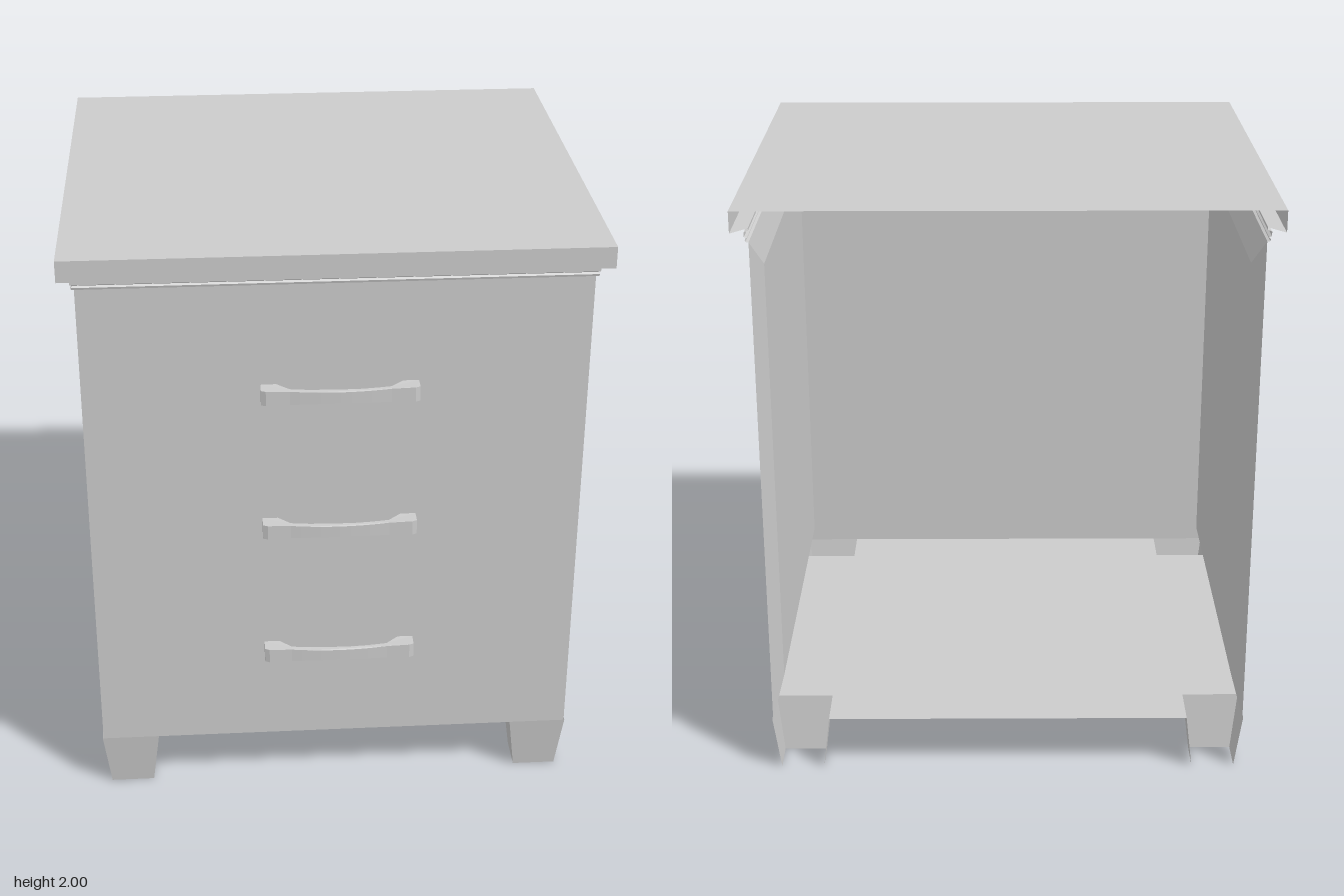
import * as THREE from 'three';

const material = new THREE.MeshStandardMaterial({ color: 0xcccccc, side: THREE.DoubleSide, flatShading: true });

function add(parent, name, geometry) {
  const mesh = new THREE.Mesh(geometry, material);
  mesh.name = name;
  parent.add(mesh);
  return mesh;
}

// Thin sheet made of four-cornered faces, corners counter-clockwise from outside
function sheet(quads) {
  const pos = [];
  for (const [a, b, c, d] of quads) pos.push(...a, ...b, ...c, ...a, ...c, ...d);
  const g = new THREE.BufferGeometry();
  g.setAttribute('position', new THREE.Float32BufferAttribute(pos, 3));
  g.computeVertexNormals();
  return g;
}

// Quads between two closed loops of corners
const band = (a, b) => a.map((p, i) => {
  const j = (i + 1) % a.length;
  return [p, a[j], b[j], b[i]];
});

function rectPath(target, x0, y0, x1, y1) {
  target.moveTo(x0, y0);
  target.lineTo(x1, y0);
  target.lineTo(x1, y1);
  target.lineTo(x0, y1);
  target.closePath();
  return target;
}

// Side sheet with a sloped border around a recessed centre
function sidePanel(s) {
  const loop = (x, y0, y1, z) => {
    const l = [[s * x, y0, z], [s * x, y0, -z], [s * x, y1, -z], [s * x, y1, z]];
    return s > 0 ? l : l.reverse();
  };
  const outer = loop(0.8, 0.2, 1.885, 0.72);
  const inner = loop(0.77, 0.305, 1.78, 0.6);
  return sheet([...band(outer, inner), inner]);
}

// Tapered leg, open at top and bottom; rear legs have no back face
function leg(sx, sz) {
  const loop = (y, x0, x1, z0, z1) => {
    const l = [[sx * x0, y, sz * z0], [sx * x1, y, sz * z0], [sx * x1, y, sz * z1], [sx * x0, y, sz * z1]];
    return l;
  };
  const quads = band(loop(0.2, 0.61, 0.803, 0.56, 0.72), loop(0, 0.635, 0.78, 0.58, 0.695));
  if (sz < 0) quads.splice(2, 1);
  if (sx * sz < 0) quads.forEach((q) => q.reverse());
  return sheet(quads);
}

// Edge profile carried along the left side, front and right side
function edgeTrim(profile) {
  const quads = [];
  const path = ([o, y]) => {
    const x = 0.8 + o, z = 0.72 + o, back = o > 0.04 ? -0.78 : -0.72 - o;
    return [[-x, y, back], [-x, y, z], [x, y, z], [x, y, back]];
  };
  for (let i = 0; i < profile.length - 1; i++) {
    const a = path(profile[i]), b = path(profile[i + 1]);
    for (let k = 0; k < 3; k++) quads.push([a[k], a[k + 1], b[k + 1], b[k]]);
  }
  return sheet(quads);
}

// Bowed pull with two thick feet, slimmer in the middle
function handleGeometry() {
  const s = new THREE.Shape();
  s.moveTo(-0.25, 0);
  s.lineTo(-0.25, 0.045);
  s.lineTo(-0.235, 0.052);
  s.lineTo(-0.16, 0.052);
  s.quadraticCurveTo(0, 0.068, 0.16, 0.052);
  s.lineTo(0.235, 0.052);
  s.lineTo(0.25, 0.045);
  s.lineTo(0.25, 0);
  s.lineTo(0.2, 0);
  s.lineTo(0.16, 0.034);
  s.quadraticCurveTo(0, 0.048, -0.16, 0.034);
  s.lineTo(-0.2, 0);
  s.closePath();
  const g = new THREE.ExtrudeGeometry(s, { depth: 0.05, bevelEnabled: false, curveSegments: 10 });
  g.translate(0, 0, -0.025);
  g.rotateX(Math.PI / 2);
  g.scale(1, 1, 1);
  const p = g.attributes.position;
  for (let i = 0; i < p.count; i++) {
    const t = Math.min(1, Math.abs(p.getX(i)) / 0.2);
    p.setY(i, p.getY(i) * (0.78 + 0.22 * t * t));
  }
  g.computeVertexNormals();
  return g;
}

export function createModel() {
  const model = new THREE.Group();
  model.name = 'nightstand';

  // Top and the stepped moulding under it
  add(model, 'topSurface', sheet([[[-0.85, 2, 0.77], [0.85, 2, 0.77], [0.85, 2, -0.78], [-0.85, 2, -0.78]]]));
  add(model, 'topEdge', edgeTrim([[0, 1.93], [0.05, 1.93], [0.05, 2]]));
  add(model, 'moulding', edgeTrim([[0, 1.885], [0.008, 1.888], [0.01, 1.895], [0.004, 1.9],
    [0.012, 1.905], [0.012, 1.92], [0, 1.922], [0, 1.93]]));

  // Sides
  add(model, 'leftSide', sidePanel(1));
  add(model, 'rightSide', sidePanel(-1));

  // Floor, notched around the legs
  const floor = new THREE.Shape();
  const notch = [[0.61, 0.72], [0.61, 0.56], [0.8, 0.56]];
  const corners = [
    ...notch,
    ...notch.map(([x, z]) => [x, -z]).reverse(),
    ...notch.map(([x, z]) => [-x, -z]),
    ...notch.map(([x, z]) => [-x, z]).reverse(),
  ];
  floor.setFromPoints(corners.map(([x, z]) => new THREE.Vector2(x, z)));
  const floorGeometry = new THREE.ShapeGeometry(floor);
  floorGeometry.rotateX(-Math.PI / 2);
  add(model, 'floor', floorGeometry).position.y = 0.2;

  // Front frame with the drawer opening, and a backing behind the gaps
  const frame = rectPath(new THREE.Shape(), -0.8, 0.2, 0.8, 1.885);
  frame.holes.push(rectPath(new THREE.Path(), -0.61, 0.335, 0.62, 1.75));
  add(model, 'frontFrame', new THREE.ShapeGeometry(frame)).position.z = 0.72;
  const backing = rectPath(new THREE.Shape(), -0.62, 0.325, 0.63, 1.76);
  add(model, 'drawerBacking', new THREE.ShapeGeometry(backing)).position.z = 0.712;

  // Drawers and handles
  const gap = 0.003;
  const pull = handleGeometry();
  [[0.335, 0.79, 0.552], [0.79, 1.292, 1.034], [1.292, 1.75, 1.52]].forEach(([y0, y1, yh], i) => {
    const drawer = new THREE.Group();
    drawer.name = `drawer${i + 1}`;
    const face = rectPath(new THREE.Shape(), -0.61 + gap, y0 + gap, 0.62 - gap, y1 - gap);
    add(drawer, 'drawerFront', new THREE.ShapeGeometry(face)).position.z = 0.72;
    add(drawer, 'handle', pull).position.set(0.01, yh, 0.72);
    model.add(drawer);
  });

  // Legs
  for (const sx of [1, -1]) {
    for (const sz of [1, -1]) {
      add(model, `${sz > 0 ? 'front' : 'back'}${sx > 0 ? 'Left' : 'Right'}Leg`, leg(sx, sz));
    }
  }
  return model;
}
